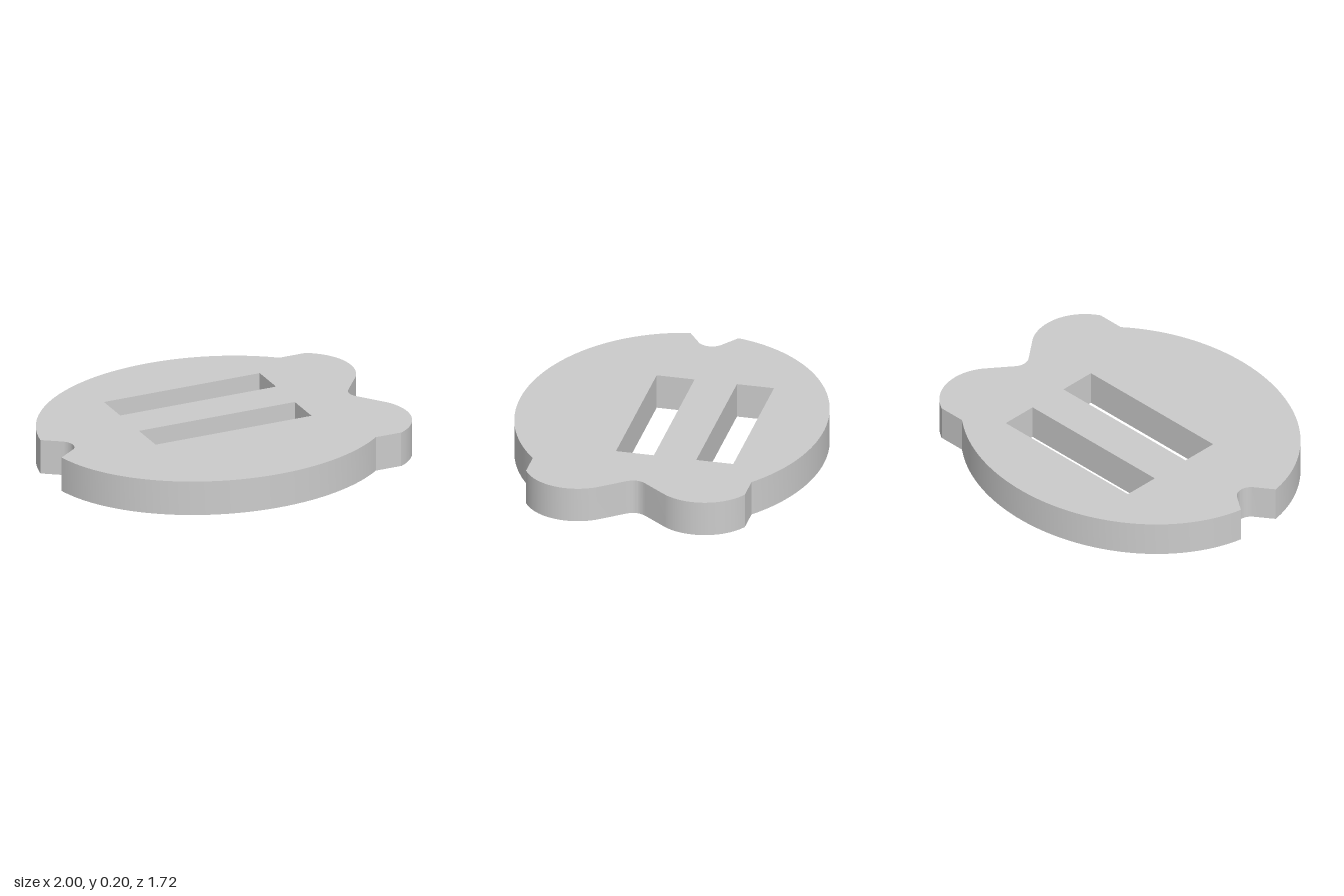
import * as THREE from 'three';
import { toCreasedNormals } from 'three/addons/utils/BufferGeometryUtils.js';

const rad = THREE.MathUtils.degToRad;

// Rectangular slot as a hole path
function slot(x0, x1, y0, y1) {
  return new THREE.Path([
    new THREE.Vector2(x0, y0), new THREE.Vector2(x0, y1),
    new THREE.Vector2(x1, y1), new THREE.Vector2(x1, y0),
    new THREE.Vector2(x0, y0),
  ]);
}

export function createModel() {
  const outline = new THREE.Shape();

  // Oval rim, one half on each side of the small V notch
  outline.absellipse(-0.01, 0, 1.003, 0.86, rad(46.1), rad(170.9), false, 0);
  outline.lineTo(-0.9, 0.065);
  outline.bezierCurveTo(-0.855, 0.034, -0.855, -0.034, -0.9, -0.065);
  outline.absellipse(-0.01, 0, 1.003, 0.86, rad(189.1), rad(313.9), false, 0);

  // Two rounded lobes joined by a filleted valley
  const lobeX = 0.705, lobeY = 0.36, r = 0.294;
  outline.lineTo(0.84, -0.62);
  outline.absarc(lobeX, -lobeY, r, rad(-62.5), rad(34), false);
  outline.lineTo(0.837, -0.052);
  outline.quadraticCurveTo(0.8, 0, 0.837, 0.052);
  outline.absarc(lobeX, lobeY, r, rad(-34), rad(62.5), false);
  outline.lineTo(0.84, 0.62);
  outline.closePath();

  // Two strap slots
  outline.holes.push(slot(-0.455, 0.495, 0.26, 0.47), slot(-0.455, 0.495, -0.195, 0.02));

  const extruded = new THREE.ExtrudeGeometry(outline, { depth: 0.2, bevelEnabled: false, curveSegments: 40 });
  extruded.rotateX(-Math.PI / 2);
  const plate = new THREE.Mesh(
    toCreasedNormals(extruded, rad(20)),
    new THREE.MeshStandardMaterial({ color: 0xcccccc })
  );
  plate.name = 'slottedPlate';

  const group = new THREE.Group();
  group.name = 'buckle';
  group.add(plate);
  return group;
}
